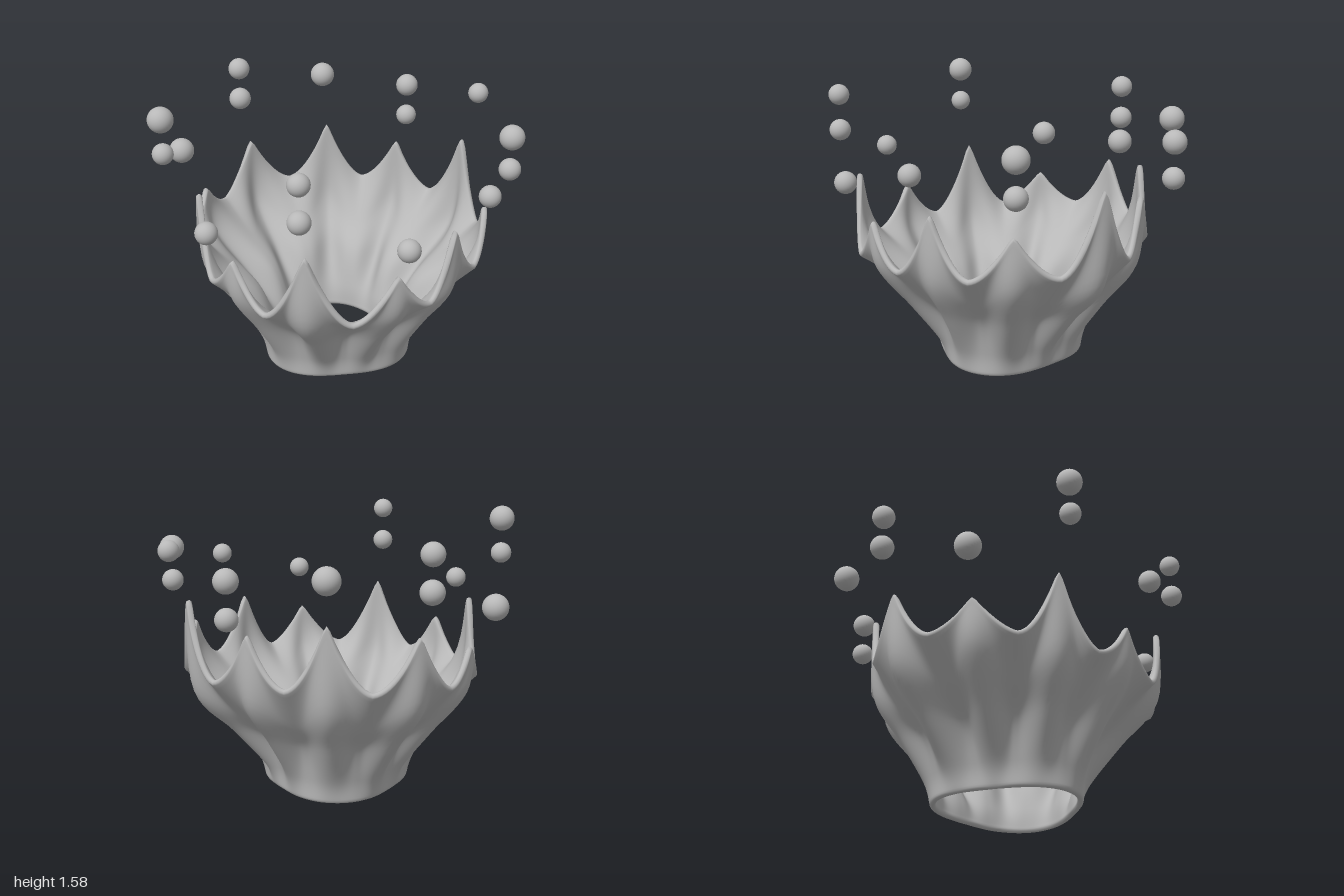
import * as THREE from 'three';

// spike tips around the rim: x, z, height
const SPIKES = [
  [0.13, 0.79, 0.87], [0.58, 0.65, 1.04], [0.81, 0.22, 0.88], [0.77, -0.21, 0.99],
  [0.57, -0.63, 0.92], [0.14, -0.85, 1.13], [-0.30, -0.72, 1.0], [-0.63, -0.43, 1.08],
  [-0.84, 0, 1.01], [-0.68, 0.44, 0.88], [-0.31, 0.71, 1.07],
];

// flying drops: x, y, z, radius
const DROPS = [
  [0.15, 1.09, 0.94, 0.06], [0.64, 1.48, 0.72, 0.058], [0.64, 1.28, 0.72, 0.06],
  [0.93, 1.10, 0.27, 0.06], [0.93, 1.23, -0.27, 0.058], [0.64, 1.335, -0.72, 0.07],
  [0.64, 1.145, -0.72, 0.062], [0.15, 1.39, -0.94, 0.058], [-0.38, 1.30, -0.86, 0.066],
  [-0.38, 1.105, -0.86, 0.061], [-0.78, 1.33, -0.515, 0.072], [-0.93, 1.44, 0, 0.063],
  [-0.93, 1.25, 0, 0.065], [-0.78, 1.10, 0.515, 0.072], [-0.38, 1.51, 0.86, 0.07],
  [-0.38, 1.315, 0.86, 0.058],
];

const HALF = 0.017; // half the sheet thickness
const SEG = 24; // columns between spikes
const ROWS = 28;
const CAP = 5;
// profile knots (share of the flare, height) in the valleys and on the ridges
const VALLEY = [[0, HALF], [0.04, 0.14], [0.22, 0.34], [0.58, 0.5], [1, 0]];
const RIDGE = [[0, HALF], [0.11, 0.14], [0.5, 0.37], [0.94, 0.62], [1, 0]];
const lerp = THREE.MathUtils.lerp;

// one column of the sheet's middle surface, from base to rim
function column(theta, radius, tip, u) {
  const low = 0.67 - 0.045 * Math.cos(theta - Math.PI / 4);
  const sharp = Math.max(0, 1 - Math.sqrt(u * u + 0.002) + 0.03);
  const top = low + (tip - HALF - low) * Math.min(1, Math.pow(sharp, 1.8));
  const fold = Math.pow((1 + Math.cos(Math.PI * u)) / 2, 1.4);
  const knots = VALLEY.map(([f, y], k) => new THREE.Vector2(
    lerp(f, RIDGE[k][0], fold), k === 4 ? top : lerp(y, RIDGE[k][1], fold)));
  const curve = new THREE.SplineCurve(knots);
  const base = 0.388 + 0.035 * Math.cos(3 * theta);
  const points = [];
  for (let r = 0; r <= ROWS; r++) {
    const p = curve.getPoint(r / ROWS);
    const rad = lerp(base, radius - HALF * 0.7, p.x);
    points.push(new THREE.Vector3(
      Math.sin(theta) * rad + 0.02 * (1 - p.x), p.y, Math.cos(theta) * rad + 0.01 * (1 - p.x)));
  }
  return points;
}

function crownGeometry() {
  const n = SPIKES.length;
  const cols = [];
  for (let i = 0; i < n; i++) {
    const a = SPIKES[i], b = SPIKES[(i + 1) % n];
    const ta = Math.atan2(a[0], a[1]);
    let tb = Math.atan2(b[0], b[1]);
    if (tb < ta) tb += Math.PI * 2;
    for (let j = 0; j < SEG; j++) {
      const s = j / SEG;
      const radius = lerp(Math.hypot(a[0], a[1]), Math.hypot(b[0], b[1]), s * s * (3 - 2 * s));
      cols.push(column(lerp(ta, tb, s), radius, s < 0.5 ? a[2] : b[2], 2 * Math.min(s, 1 - s)));
    }
  }

  // wrap each column into a closed, round-edged wall section
  const count = cols.length, positions = [], index = [];
  let loop = 0;
  cols.forEach((col, i) => {
    const next = cols[(i + 1) % count], prev = cols[(i + count - 1) % count];
    const frames = col.map((p, r) => {
      const along = col[Math.min(r + 1, ROWS)].clone().sub(col[Math.max(r - 1, 0)]).normalize();
      const normal = next[r].clone().sub(prev[r]).cross(along).normalize();
      return { p, along, normal };
    });
    const ring = [];
    const add = (r, angle) => {
      const { p, along, normal } = frames[r];
      ring.push(p.clone().addScaledVector(normal, HALF * Math.cos(angle))
        .addScaledVector(along, HALF * Math.sin(angle)));
    };
    for (let r = 0; r <= ROWS; r++) add(r, 0);
    for (let k = 1; k < CAP; k++) add(ROWS, Math.PI * k / CAP);
    for (let r = ROWS; r >= 0; r--) add(r, Math.PI);
    for (let k = 1; k < CAP; k++) add(0, Math.PI + Math.PI * k / CAP);
    loop = ring.length;
    ring.forEach((p) => positions.push(p.x, Math.max(0, p.y), p.z));
  });
  for (let i = 0; i < count; i++) {
    for (let k = 0; k < loop; k++) {
      const i2 = (i + 1) % count, k2 = (k + 1) % loop;
      const a = i * loop + k, b = i2 * loop + k, c = i2 * loop + k2, d = i * loop + k2;
      index.push(a, b, c, a, c, d);
    }
  }
  const geometry = new THREE.BufferGeometry();
  geometry.setAttribute('position', new THREE.Float32BufferAttribute(positions, 3));
  geometry.setIndex(index);
  geometry.computeVertexNormals();
  return geometry;
}

export function createModel() {
  const group = new THREE.Group();
  group.name = 'splashCrown';
  const grey = new THREE.MeshStandardMaterial({ color: 0xb8b8b8 });
  grey.name = 'liquidGrey';

  // fluted crown with an open base
  const crown = new THREE.Mesh(crownGeometry(), grey);
  crown.name = 'crown';
  group.add(crown);

  // drops above the spikes
  const drops = new THREE.Group();
  drops.name = 'drops';
  const ball = new THREE.SphereGeometry(1, 32, 20);
  DROPS.forEach(([x, y, z, r], i) => {
    const drop = new THREE.Mesh(ball, grey);
    drop.name = `drop${i + 1}`;
    drop.position.set(x, y, z);
    drop.scale.setScalar(r);
    drops.add(drop);
  });
  group.add(drops);
  return group;
}
